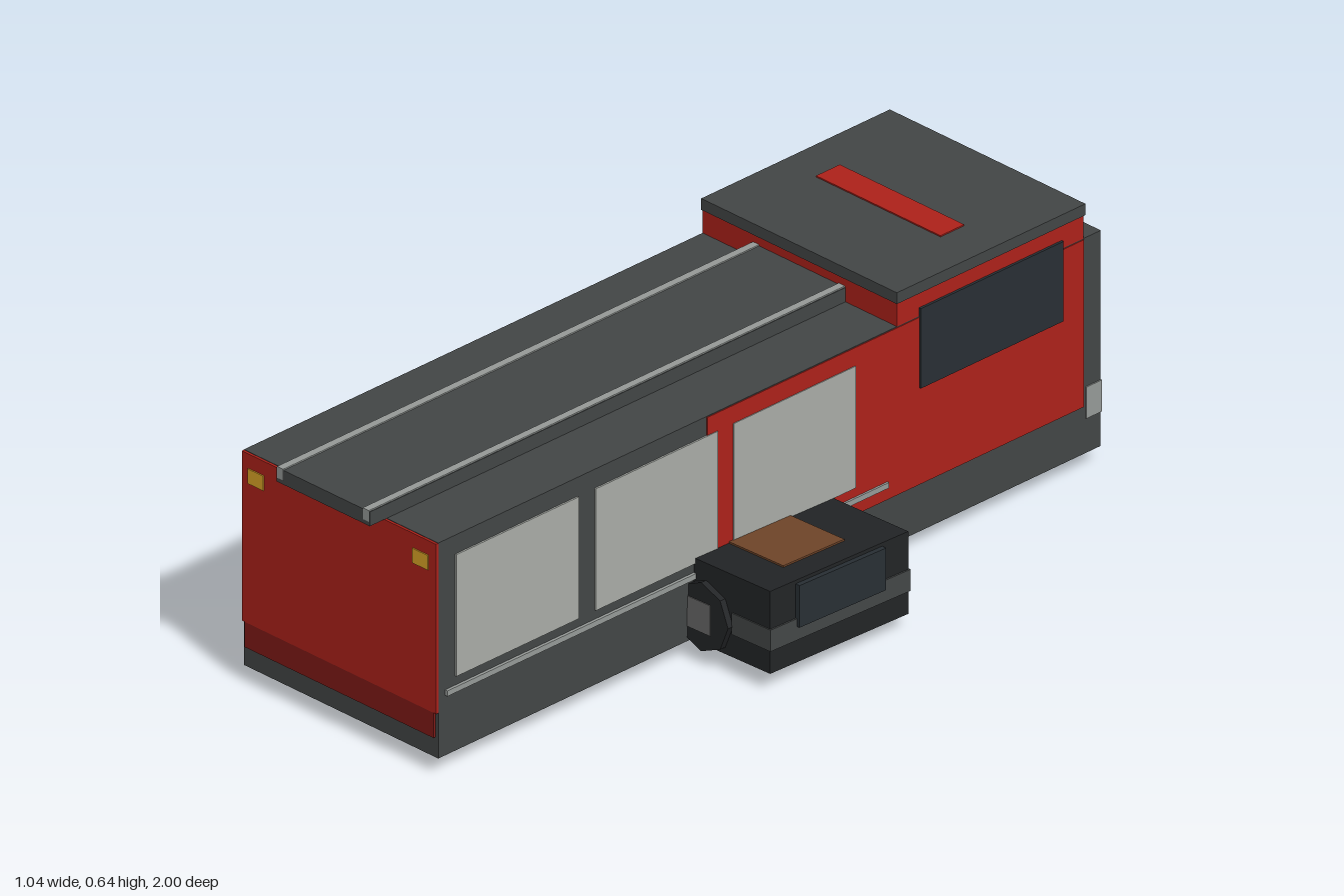
import * as THREE from 'three';

const mat = (color) => new THREE.MeshStandardMaterial({ color, flatShading: true, side: THREE.DoubleSide });
const dark = mat(0x434646), black = mat(0x222426), red = mat(0xae211a), deepRed = mat(0x801a17);
const glass = mat(0x282f34), panel = mat(0xaaada8), silver = mat(0x969a98), steel = mat(0x666666);
const amber = mat(0xdca528), brown = mat(0x704529), blue = mat(0x4a5a66);

// Box given by its extents on each axis
function box(parent, name, m, [x0, x1], [y0, y1], [z0, z1]) {
  const mesh = new THREE.Mesh(new THREE.BoxGeometry(x1 - x0, y1 - y0, z1 - z0), m);
  mesh.position.set((x0 + x1) / 2, (y0 + y1) / 2, (z0 + z1) / 2);
  mesh.name = name;
  parent.add(mesh);
  return mesh;
}

// Eight-sided drum lying along x or z
function drum(parent, name, m, r, len, axis, x, y, z) {
  const g = new THREE.CylinderGeometry(r, r, len, 8);
  if (axis === 'x') g.rotateZ(Math.PI / 2); else g.rotateX(Math.PI / 2);
  const mesh = new THREE.Mesh(g, m);
  mesh.position.set(x, y, z);
  mesh.name = name;
  parent.add(mesh);
}

export function createModel() {
  const model = new THREE.Group();
  const L = -0.295, R = 0.283, X = [L, R];

  // Hull
  box(model, 'skirt', dark, X, [0.042, 0.155], [-0.95, 0.95]);
  box(model, 'hull', dark, X, [0.155, 0.555], [-0.95, 0.95]);
  box(model, 'rearWall', dark, X, [0.042, 0.555], [-1, -0.95]);
  box(model, 'rearBand', silver, [L - 0.003, R + 0.003], [0.125, 0.2], [-1.001, -0.955]);

  // Front face
  box(model, 'frontPanel', red, X, [0.15, 0.554], [0.95, 0.956]);
  box(model, 'frontBumper', deepRed, [-0.288, 0.275], [0.09, 0.15], [0.95, 0.956]);
  for (const x of [-0.252, 0.237])
    box(model, 'frontLamp', amber, [x - 0.023, x + 0.023], [0.485, 0.52], [0.955, 0.959]);

  // Sides: red cladding, large panels, trim rail and cab window
  for (const s of [-1, 1]) {
    const face = s > 0 ? R : L;
    const out = (a, b) => [face + s * a, face + s * b].sort((p, q) => p - q);
    box(model, 'sideCladding', red, out(-0.002, 0.002), [0.155, 0.553], [-0.949, s > 0 ? 0.16 : 0.949]);
    for (const z of [0.72, 0.31, -0.096])
      box(model, 'sidePanel', panel, out(0, 0.004), [0.22, 0.51], [z - 0.18, z + 0.18]);
    box(model, 'trimRail', silver, out(0, 0.007), [0.185, 0.198], [-0.37, 0.93]);
    box(model, 'cabWindow', glass, out(0, 0.006), [0.385, 0.575], [-0.885, -0.465]);
  }

  // Cab and roof
  box(model, 'cab', red, X, [0.553, 0.61], [-0.95, -0.4]);
  box(model, 'cabRoof', dark, [L - 0.002, R + 0.002], [0.61, 0.637], [-0.953, -0.398]);
  box(model, 'cabRoofStripe', red, [-0.195, 0.175], [0.636, 0.64], [-0.705, -0.635]);
  box(model, 'roofBeam', dark, [-0.147, 0.13], [0.555, 0.589], [-0.4, 1]);
  for (const x of [-0.136, 0.119])
    box(model, 'roofRail', silver, [x - 0.009, x + 0.009], [0.565, 0.592], [-0.4, 1.001]);

  // Wheels under the hull
  for (const z of [0.49, 0.26, -0.65])
    for (const x of [-0.195, 0.185])
      drum(model, 'wheel', black, 0.08, 0.07, 'x', x, 0.103, z);

  // Slightly tilted cross platform carrying the side pods
  const pods = new THREE.Group();
  pods.name = 'sidePods';
  pods.position.y = 0.12;
  pods.rotation.set(-0.03, 0, 0.03);
  model.add(pods);
  box(pods, 'platform', black, [-0.3, 0.29], [-0.093, -0.06], [-0.2, 0.2]);
  box(pods, 'platformInset', steel, [-0.2, 0.19], [-0.096, -0.09], [-0.16, 0.16]);
  box(pods, 'platformHatch', brown, [-0.14, 0.13], [-0.099, -0.095], [-0.09, 0.09]);
  for (const s of [-1, 1]) {
    const span = (a, b) => [s * a, s * b].sort((p, q) => p - q);
    box(pods, 'pod', black, span(0.27, 0.512), [-0.094, 0.098], [-0.207, 0.2]);
    box(pods, 'podBand', dark, span(0.4, 0.516), [-0.04, 0.01], [-0.21, 0.203]);
    for (const z of [-0.208, 0.2]) {
      drum(pods, 'podDrum', black, 0.08, 0.03, 'z', s * 0.322, -0.022, z);
      box(pods, 'drumHub', steel, span(0.282, 0.35), [-0.057, 0.014], [z - 0.017, z + 0.017]);
    }
  }
  box(pods, 'podWindow', glass, [0.5, 0.524], [-0.008, 0.09], [-0.13, 0.125]);
  box(pods, 'podTopPlate', brown, [0.27, 0.45], [0.096, 0.102], [-0.08, 0.1]);
  box(pods, 'podFrontPlate', brown, [-0.455, -0.352], [0.073, 0.122], [0.197, 0.204]);
  box(pods, 'podDeck', blue, [-0.36, -0.28], [0.06, 0.104], [-0.213, 0.206]);

  // Leaning screen on the right pod
  const screen = box(model, 'leaningScreen', blue, [-0.397, -0.389], [0.215, 0.36], [-0.222, 0.205]);
  screen.rotation.z = 0.33;

  return model;
}
